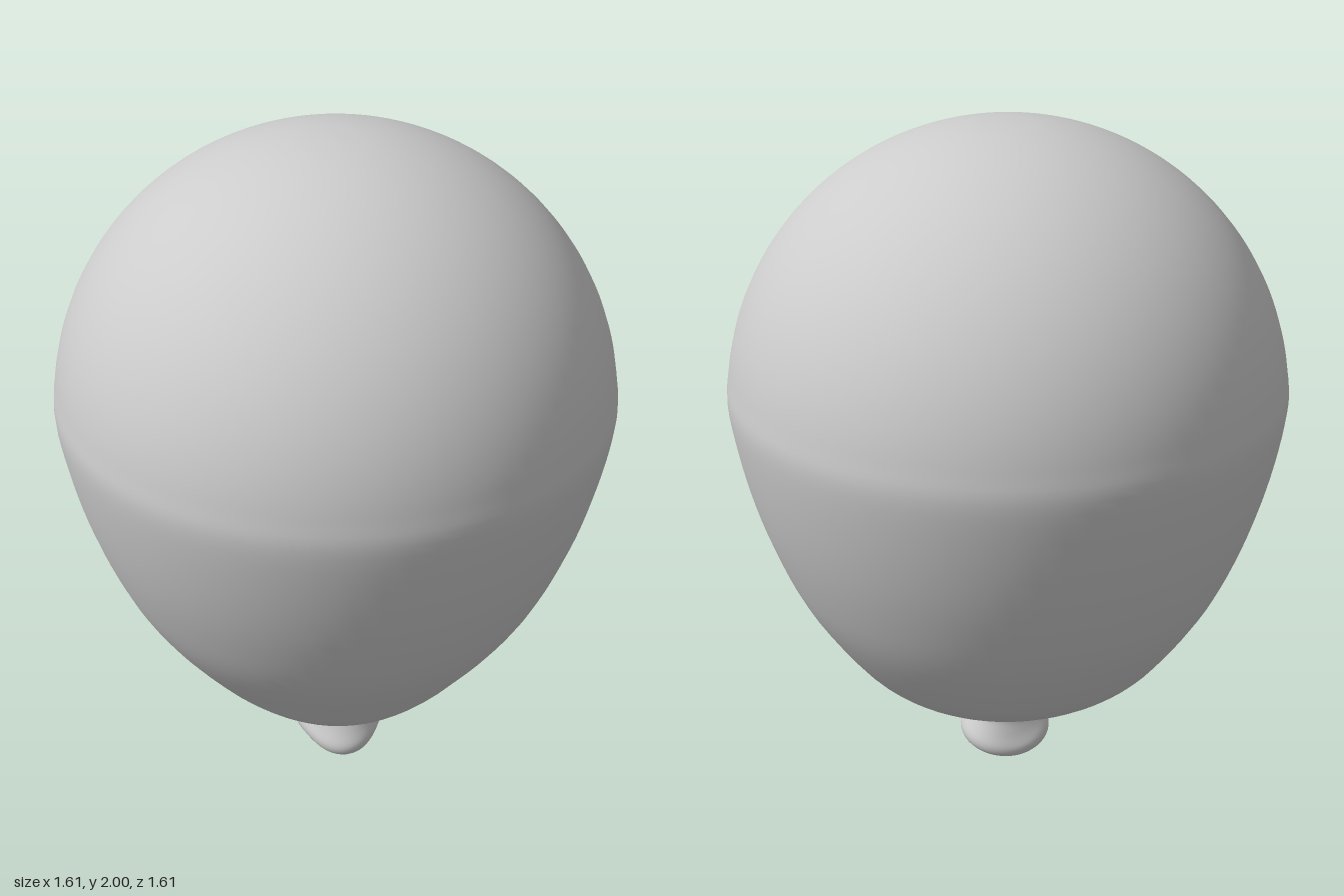
import * as THREE from 'three';
import { mergeVertices } from 'three/addons/utils/BufferGeometryUtils.js';

const smooth = THREE.MathUtils.smoothstep;

export function createModel() {
  const model = new THREE.Group();
  model.name = 'balloon';
  const rubber = new THREE.MeshStandardMaterial({ color: 0xcccccc });
  rubber.name = 'pale grey rubber';

  // Profile [radius, height]: hollow of the mouth, rolled lip, neck, lower body
  const profile = [
    [0, 0.06], [0.06, 0.052], [0.105, 0.03], [0.122, 0.018], [0.134, 0.03], [0.136, 0.055],
    [0.122, 0.092], [0.114, 0.122], [0.12, 0.148], [0.15, 0.168], [0.22, 0.2], [0.355, 0.288],
    [0.475, 0.4], [0.615, 0.6], [0.705, 0.8], [0.766, 1.0],
  ].map(([r, y]) => new THREE.Vector2(r, y));
  // Rounded crown
  for (let i = 0; i <= 12; i++) {
    const a = (i / 12) * Math.PI / 2;
    profile.push(new THREE.Vector2(0.803 * Math.cos(a), 1.2 + 0.8 * Math.sin(a)));
  }
  const points = new THREE.SplineCurve(profile).getPoints(130);
  points[0].x = 0;
  points[points.length - 1].x = 0;

  const geometry = new THREE.LatheGeometry(points, 72);
  const pos = geometry.attributes.position;
  for (let i = 0; i < pos.count; i++) {
    let x = pos.getX(i), y = pos.getY(i), z = pos.getZ(i);
    const angle = Math.atan2(x, z);
    const r = Math.hypot(x, z);
    // The mouth is a soft triangle with a corner to the front and a wavy lip
    const knot = 1 - smooth(y, 0.06, 0.15);
    const swell = 1 + 0.06 * knot * Math.cos(3 * angle);
    x *= swell;
    z *= swell * (1 + 0.06 * knot);
    const wave = -0.015 * Math.cos(2 * angle) + 0.005 * Math.cos(angle);
    y += knot * Math.min(r / 0.13, 1) * wave;
    // The knot sits a little forward of the axis
    z += 0.06 * (1 - smooth(y, 0.16, 0.42));
    pos.setXYZ(i, x, Math.max(y, 0), z);
  }

  // Weld the seam so the normals stay smooth all round
  geometry.deleteAttribute('uv');
  geometry.deleteAttribute('normal');
  const skin = mergeVertices(geometry, 1e-5);
  skin.computeVertexNormals();

  const body = new THREE.Mesh(skin, rubber);
  body.name = 'balloonBodyAndKnot';
  model.add(body);
  return model;
}
